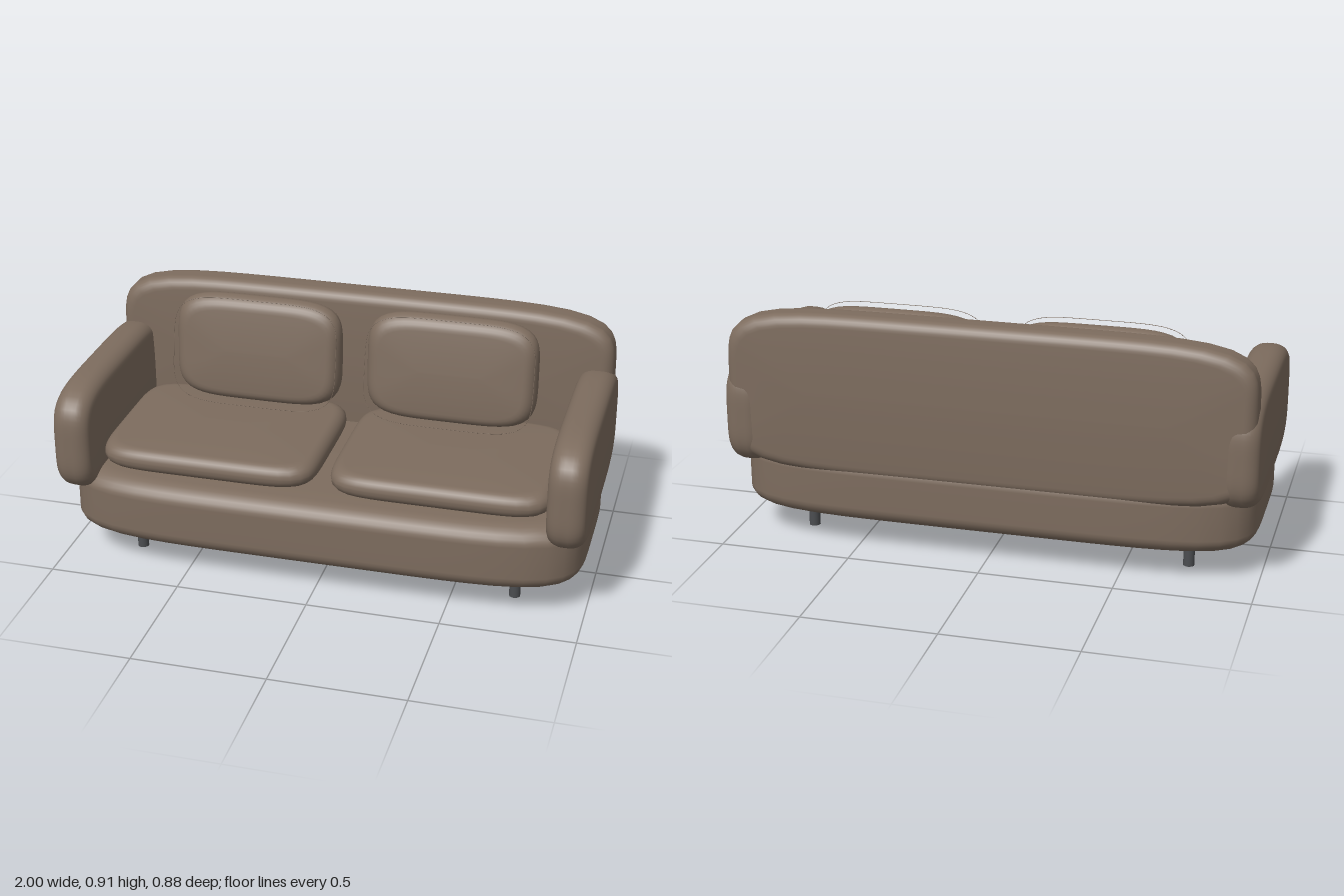
import * as THREE from 'three';

const fabric = new THREE.MeshStandardMaterial({ color: 0x7d6c5e });
fabric.name = 'taupe fabric';
const metal = new THREE.MeshStandardMaterial({ color: 0x4b4d50 });
metal.name = 'dark metal';

// Point on a superellipse with half sizes a, b and squareness n
function outline(t, a, b, n) {
  const c = Math.cos(t), s = Math.sin(t);
  // even out the spacing around the corners
  const k = Math.pow(Math.pow(Math.abs(c), n) + Math.pow(Math.abs(s), n), -1 / n);
  return [a * c * k, b * s * k];
}

// Padded slab: outline in XY, thickness along Z.
// a, b, d: half sizes; n: squareness; e: edge inset; c: edge depth; crown: bulge of the faces
function pad({ a, b, d, n, e, c, crown = 0.008 }) {
  const seg = 80, rings = [];
  const half = [];
  const flat = d - crown;
  for (let i = 0; i <= 7; i++) {
    const q = (i / 7) * Math.PI / 2;
    half.push([e * (1 - Math.cos(q)), flat - c + c * Math.sin(q)]);
  }
  const m = Math.min(a, b);
  for (const f of [0.2, 0.45, 0.75, 0.98]) {
    half.push([e + (m - e) * f, flat + crown * (1 - (1 - f) * (1 - f))]);
  }
  for (const [inset, z] of [...half].reverse()) rings.push([inset, -z]);
  rings.push(...half);

  const pos = [], idx = [];
  for (const [inset, z] of rings) {
    for (let j = 0; j < seg; j++) {
      const [x, y] = outline((j / seg) * Math.PI * 2, a - inset, b - inset, n);
      pos.push(x, y, z);
    }
  }
  for (let i = 0; i < rings.length - 1; i++) {
    for (let j = 0; j < seg; j++) {
      const k = (j + 1) % seg, p = i * seg, q = p + seg;
      idx.push(p + j, p + k, q + k, p + j, q + k, q + j);
    }
  }
  // close both faces
  const back = pos.length / 3, last = (rings.length - 1) * seg;
  pos.push(0, 0, -d, 0, 0, d);
  for (let j = 0; j < seg; j++) {
    const k = (j + 1) % seg;
    idx.push(back, k, j, back + 1, last + j, last + k);
  }
  const g = new THREE.BufferGeometry();
  g.setAttribute('position', new THREE.Float32BufferAttribute(pos, 3));
  g.setIndex(idx);
  g.computeVertexNormals();
  return g;
}

export function createModel() {
  const model = new THREE.Group();
  model.name = 'sofa';
  const add = (name, geometry, material, x, y, z) => {
    const mesh = new THREE.Mesh(geometry, material);
    mesh.name = name;
    mesh.position.set(x, y, z);
    model.add(mesh);
    return mesh;
  };

  // Upholstered base and backrest
  const base = pad({ a: 0.98, b: 0.432, d: 0.137, n: 5.5, e: 0.08, c: 0.065 });
  base.rotateX(-Math.PI / 2);
  add('base', base, fabric, 0, 0.237, 0);
  add('backrest', pad({ a: 0.98, b: 0.31, d: 0.076, n: 6, e: 0.045, c: 0.045 }), fabric, 0, 0.602, -0.366);

  const arm = pad({ a: 0.441, b: 0.216, d: 0.076, n: 4.4, e: 0.045, c: 0.058, crown: 0.005 });
  arm.rotateY(Math.PI / 2);
  const seat = pad({ a: 0.418, b: 0.328, d: 0.054, n: 6.5, e: 0.045, c: 0.044 });
  seat.rotateX(-Math.PI / 2);

  // Back cushion, thinner towards the top, with an upright rear face
  const depth = 0.07;
  const cushion = pad({ a: 0.33, b: 0.21, d: depth, n: 4.6, e: 0.05, c: 0.06 });
  const p = cushion.attributes.position;
  for (let i = 0; i < p.count; i++) {
    p.setZ(i, -depth + (p.getZ(i) + depth) * (1 - 0.85 * p.getY(i)));
  }
  cushion.computeVertexNormals();

  // Hairline piping in front of the back cushion
  const path = [];
  for (let j = 0; j < 48; j++) {
    const [x, y] = outline((j / 48) * Math.PI * 2, 0.325, 0.207, 4.6);
    path.push(new THREE.Vector3(x, y, -0.174 * y));
  }
  const piping = new THREE.TubeGeometry(new THREE.CatmullRomCurve3(path, true), 120, 0.001, 5, true);

  const leg = new THREE.CylinderGeometry(0.021, 0.021, 0.12, 20);

  for (const [side, s] of [['left', 1], ['right', -1]]) {
    add(side + 'Arm', arm, fabric, s * 0.924, 0.494, 0);
    add(side + 'SeatCushion', seat, fabric, s * 0.442, 0.421, 0.028);
    add(side + 'BackCushion', cushion, fabric, s * 0.382, 0.682, -0.218);
    add(side + 'CushionPiping', piping, fabric, s * 0.382, 0.688, -0.136);
    add(side + 'FrontLeg', leg, metal, s * 0.73, 0.06, 0.235);
    add(side + 'BackLeg', leg, metal, s * 0.73, 0.06, -0.23);
  }
  return model;
}
